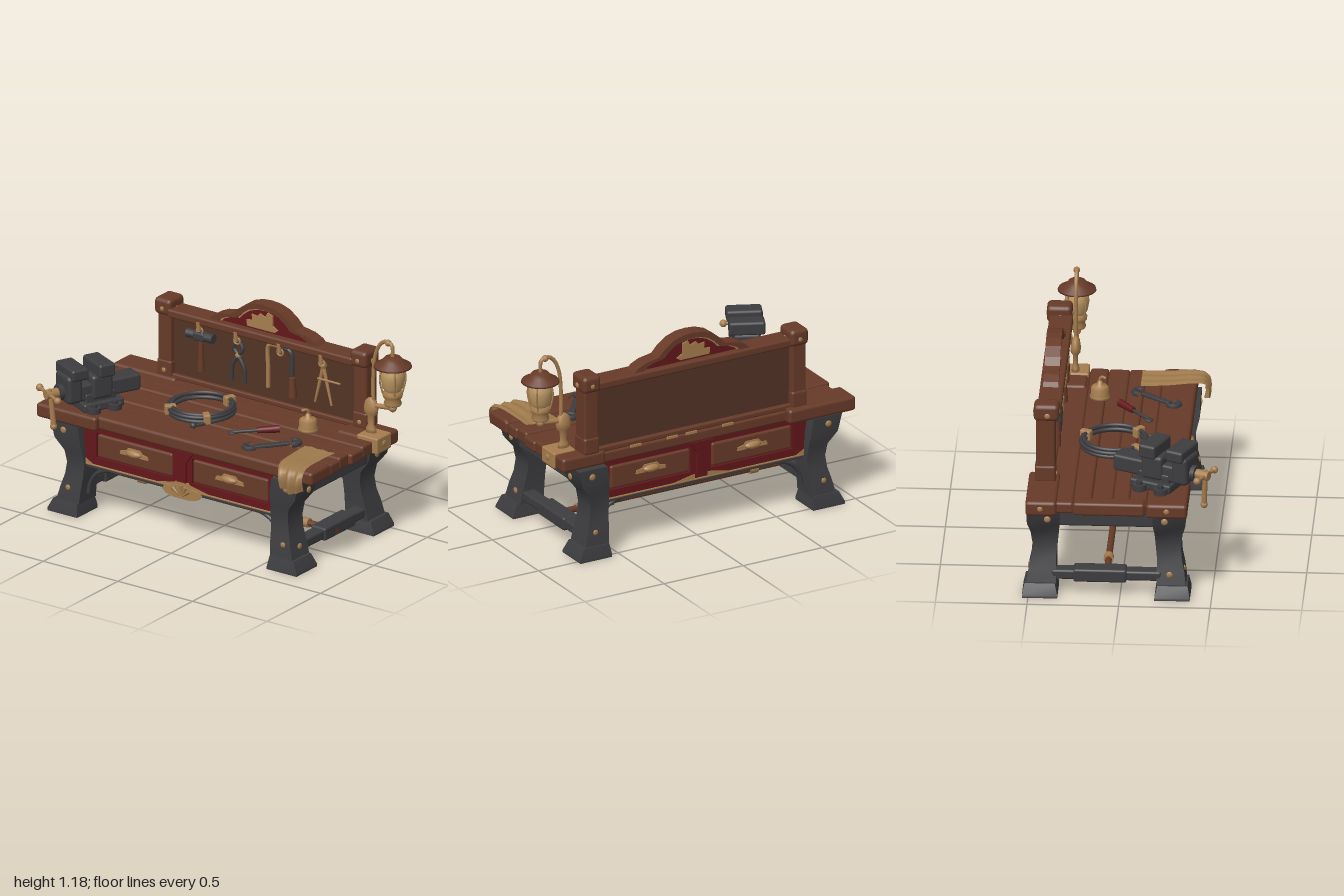
import * as THREE from 'three';
import { RoundedBoxGeometry } from 'three/addons/geometries/RoundedBoxGeometry.js';

const V = (x, y, z) => new THREE.Vector3(x, y, z);
const mat = (name, color, side = THREE.FrontSide) => {
  const m = new THREE.MeshStandardMaterial({ color, side });
  m.name = name;
  return m;
};

export function createModel() {
  const wood = mat('wood', 0x673a28), board = mat('dark wood', 0x533325), iron = mat('iron', 0x3d3d40);
  const brass = mat('brass', 0xa67d4e), red = mat('red paint', 0x63171b), glass = mat('lamp glass', 0xbb9763);
  const cloth = mat('cloth', 0x9f7a4c, THREE.DoubleSide);
  const model = new THREE.Group();
  model.name = 'workbench';

  // ---- helpers ----
  const group = (name, x = 0, y = 0, z = 0, parent = model) => {
    const g = new THREE.Group();
    g.name = name;
    g.position.set(x, y, z);
    parent.add(g);
    return g;
  };
  const add = (p, name, geo, m, x = 0, y = 0, z = 0) => {
    const o = new THREE.Mesh(geo, m);
    o.name = name;
    o.position.set(x, y, z);
    p.add(o);
    return o;
  };
  const box = (p, name, m, x0, x1, y0, y1, z0, z1, r = 0.012) =>
    add(p, name, new RoundedBoxGeometry(x1 - x0, y1 - y0, z1 - z0, 2, Math.min(r, (x1 - x0) / 3, (y1 - y0) / 3, (z1 - z0) / 3)),
      m, (x0 + x1) / 2, (y0 + y1) / 2, (z0 + z1) / 2);
  const rod = (p, name, m, a, b, r, r2 = r, n = 12) => {
    const d = b.clone().sub(a), c = a.clone().add(b).multiplyScalar(0.5);
    const o = add(p, name, new THREE.CylinderGeometry(r2, r, d.length(), n), m, c.x, c.y, c.z);
    o.quaternion.setFromUnitVectors(V(0, 1, 0), d.normalize());
    return o;
  };
  const ball = (p, name, m, x, y, z, r) => add(p, name, new THREE.SphereGeometry(r, 12, 8), m, x, y, z);
  const stud = (p, name, x, y, z, r, axis) => { ball(p, name, brass, x, y, z, r).scale[axis] = 0.4; };
  const tube = (p, name, m, pts, r, n = 24) =>
    add(p, name, new THREE.TubeGeometry(new THREE.CatmullRomCurve3(pts), n, r, 8), m);
  const lathe = (p, name, m, pts, x, y, z) =>
    add(p, name, new THREE.LatheGeometry(pts.map(q => new THREE.Vector2(q[0], q[1])), 20), m, x, y, z);
  const shapeOf = pts => new THREE.Shape(pts.map(q => new THREE.Vector2(q[0], q[1])));
  const slab = (p, name, m, shape, z0, z1) =>
    add(p, name, new THREE.ExtrudeGeometry(shape, { depth: z1 - z0, bevelEnabled: false }), m, 0, 0, z0);
  const rect = (x0, x1, y0, y1) => [[x0, y0], [x1, y0], [x1, y1], [x0, y1]];

  // Column from rows of [y, xInner, xOuter, zInner, zOuter], placed in the sx/sz quadrant
  const column = (p, name, m, rows, sx, sz) => {
    const g = new THREE.BoxGeometry(1, 1, 1, 1, rows.length - 1, 1), a = g.attributes.position;
    for (let i = 0; i < a.count; i++) {
      const r = rows[Math.round((a.getY(i) + 0.5) * (rows.length - 1))];
      a.setXYZ(i, sx * (a.getX(i) * sx > 0 ? r[2] : r[1]), r[0], sz * (a.getZ(i) * sz > 0 ? r[4] : r[3]));
    }
    g.computeVertexNormals();
    return add(p, name, g, m);
  };

  // ---- iron base ----
  const base = group('ironBase', -0.08, 0, -0.075);
  const legRows = [[0.07, 0.64, 0.79, 0.275, 0.435], [0.15, 0.635, 0.77, 0.275, 0.425], [0.22, 0.63, 0.75, 0.275, 0.41],
    [0.29, 0.625, 0.74, 0.268, 0.405], [0.36, 0.63, 0.75, 0.262, 0.415], [0.43, 0.635, 0.805, 0.255, 0.432], [0.53, 0.65, 0.83, 0.255, 0.435]];
  const footRows = [[0, 0.635, 0.835, 0.265, 0.458], [0.015, 0.635, 0.835, 0.265, 0.458], [0.075, 0.645, 0.805, 0.28, 0.445]];
  for (const sx of [-1, 1]) {
    for (const sz of [-1, 1]) {
      column(base, 'leg', iron, legRows, sx, sz);
      column(base, 'foot', iron, footRows, sx, sz);
      stud(base, 'legBolt', sx * 0.82, 0.465, sz * 0.32, 0.019, 'x');
      stud(base, 'legBolt', sx * 0.745, 0.485, sz * 0.434, 0.019, 'z');
      stud(base, 'legBolt', sx * 0.72, 0.15, sz * 0.425, 0.016, 'z');
    }
    stud(base, 'legBolt', sx * 0.776, 0.13, 0.345, 0.018, 'x');
    const [a, b] = sx > 0 ? [0.67, 0.8] : [-0.8, -0.67];
    box(base, 'sideBeam', iron, a, b, 0.42, 0.53, -0.3, 0.3);
    box(base, 'sideStretcher', iron, a + 0.02, b - 0.03, 0.09, 0.145, -0.3, 0.3);
    box(base, 'stretcherSleeve', iron, a + 0.01, b - 0.02, 0.08, 0.155, -0.18, 0.11);
  }
  rod(base, 'footRail', wood, V(-0.78, 0.11, 0), V(0.78, 0.11, 0), 0.018);
  for (const x of [-0.52, 0.39, 0.57]) rod(base, 'railCollar', brass, V(x - 0.025, 0.11, 0), V(x + 0.025, 0.11, 0), 0.027);

  // ---- drawer aprons; the back one sits deeper and has no shell ----
  for (const s of [1, -1]) {
    const ap = group(s > 0 ? 'frontApron' : 'backApron', -0.06, 0, s > 0 ? -0.075 : -0.055);
    ap.rotation.y = s > 0 ? 0 : Math.PI;
    const panel = shapeOf(rect(-0.68, 0.68, 0.305, 0.53));
    for (const c of [-0.32, 0.32])
      panel.holes.push(new THREE.Path(rect(c - 0.257, c + 0.257, 0.35, 0.496).map(q => new THREE.Vector2(...q))));
    slab(ap, 'redFrame', red, panel, 0.35, 0.385);
    for (const c of [-0.32, 0.32]) {
      box(ap, 'drawerFront', wood, c - 0.251, c + 0.251, 0.356, 0.49, 0.35, 0.388, 0.012);
      slab(ap, 'handlePlate', brass, shapeOf([[-0.095, 0.415], [0.095, 0.415], [0.09, 0.435], [0.055, 0.442], [0.04, 0.46],
        [-0.04, 0.46], [-0.055, 0.442], [-0.09, 0.435]]), 0.385, 0.395).position.x = c;
      ball(ap, 'drawerHandle', brass, c, 0.433, 0.394, 0.026).scale.set(2, 0.85, 1);
    }
    // centre pilaster and gilded edges
    slab(ap, 'centrePilaster', red, shapeOf([[-0.03, 0.33], [0.03, 0.33], [0.03, 0.46], [0.075, 0.525], [-0.075, 0.525], [-0.03, 0.46]]), 0.38, 0.4);
    box(ap, 'gildedLowerEdge', brass, -0.68, 0.68, 0.298, 0.308, 0.35, 0.39, 0.003);
    box(ap, 'lowerRail', iron, -0.66, 0.66, 0.282, 0.299, 0.34, 0.385, 0.004);
    for (const t of [-1, 1]) {
      const tri = (x, y, w, h) => slab(ap, 'gildedCorner', brass,
        shapeOf(t * w * h > 0 ? [[t * x, y], [t * (x + w), y], [t * x, y + h]] : [[t * x, y], [t * x, y + h], [t * (x + w), y]]), 0.385, 0.389);
      tri(0.675, 0.305, -0.08, 0.045);
      tri(0.675, 0.525, -0.07, -0.025);
      tri(0.04, 0.305, 0.15, 0.03);
      tube(ap, 'archBracket', iron, [V(t * 0.645, 0.12, 0.365), V(t * 0.63, 0.19, 0.365), V(t * 0.585, 0.25, 0.365),
        V(t * 0.52, 0.28, 0.365), V(t * 0.42, 0.29, 0.365)], 0.012);
    }
  }
  const shell = group('shellOrnament', -0.058, 0, -0.075);
  slab(shell, 'shellPlate', brass, shapeOf([[-0.13, 0.285], [-0.1, 0.26], [-0.05, 0.25], [0.05, 0.25], [0.1, 0.26], [0.13, 0.285],
    [0.11, 0.31], [0.06, 0.315], [0.04, 0.345], [-0.04, 0.345], [-0.06, 0.315], [-0.11, 0.31]]), 0.37, 0.402);
  for (let i = 0; i < 5; i++) {
    const a = (i - 2) * 0.5;
    rod(shell, 'shellRib', brass, V(Math.sin(a) * 0.015, 0.27, 0.403), V(Math.sin(a) * 0.065, 0.275 + Math.cos(a) * 0.055, 0.403), 0.006, 0.012, 8);
  }

  // ---- plank top ----
  const top = group('benchTop');
  const seams = [0.2, 0.15, 0.055, -0.035, -0.15, -0.25, -0.465];
  box(top, 'plankBed', wood, -0.96, 0.8, 0.535, 0.585, -0.45, 0.32, 0.005);
  for (let i = 0; i < seams.length - 1; i++)
    box(top, 'plank', wood, -0.975 + (i % 2) * 0.01, 0.825 - (i % 3) * 0.008, 0.53, 0.602 - (i % 2) * 0.007, seams[i + 1], seams[i], 0.014);
  box(top, 'frontCornerBlock', wood, -1, -0.6, 0.526, 0.608, 0.15, 0.373, 0.018);
  box(top, 'frontEdgeBeam', wood, -0.62, 0.825, 0.53, 0.607, 0.16, 0.34, 0.018);
  box(top, 'backCornerBlock', wood, -1, -0.58, 0.526, 0.61, -0.51, -0.34, 0.018);
  box(top, 'rightBackBlock', wood, 0.56, 0.83, 0.526, 0.608, -0.475, -0.26, 0.018);
  box(top, 'leftEndBand', wood, -0.985, -0.9, 0.528, 0.603, -0.25, 0.14, 0.015);
  for (const z of [-0.43, 0.26]) stud(top, 'endBolt', -0.998, 0.57, z, 0.016, 'x');
  for (const x of [-0.25, -0.02, 0.1, 0.33]) box(top, 'wornGilding', brass, x, x + 0.07, 0.586, 0.602, -0.468, -0.46, 0.002);

  // ---- tool board ----
  const back = group('toolBoard');
  box(back, 'boardPanel', board, -0.64, 0.62, 0.6, 0.985, -0.435, -0.39, 0.004);
  box(back, 'topRail', wood, -0.63, 0.61, 0.965, 1.013, -0.465, -0.335, 0.012);
  box(back, 'bottomRail', wood, -0.63, 0.61, 0.595, 0.625, -0.46, -0.37, 0.008);
  for (const x of [-0.665, 0.645]) {
    box(back, 'post', wood, x - 0.045, x + 0.045, 0.6, 1.0, -0.468, -0.362, 0.012);
    box(back, 'postCap', wood, x - 0.056, x + 0.056, 0.965, 1.062, -0.48, -0.34, 0.024);
    box(back, 'postFoot', wood, x - 0.049, x + 0.049, 0.6, 0.7, -0.474, -0.358, 0.015);
    for (const [y, z] of [[1.005, -0.341], [0.64, -0.358], [1.005, -0.479]]) stud(back, 'postStud', x, y, z, 0.014, 'z');
    for (const t of [-1, 1]) stud(back, 'postStud', x + t * 0.056, 1.0, -0.405, 0.016, 'x');
  }
  // arched crest: wooden rim, recessed red field, gilding
  const half = [[0.37, 1.005], [0.34, 1.035], [0.29, 1.058], [0.21, 1.072], [0.175, 1.11], [0.12, 1.15], [0.06, 1.17], [0, 1.175]];
  const outline = (kx, ky) => {
    const r = half.map(([x, y]) => [x * kx, 1.005 + (y - 1.005) * ky]);
    return r.concat(r.slice(0, -1).reverse().map(([x, y]) => [-x, y]));
  };
  const hole = k => new THREE.Path(outline(...k).map(q => new THREE.Vector2(...q)));
  const rim = shapeOf(outline(1, 1)), gild = shapeOf(outline(0.84, 0.82));
  rim.holes.push(hole([0.84, 0.82]));
  gild.holes.push(hole([0.8, 0.77]));
  slab(back, 'crestRim', wood, rim, -0.447, -0.363);
  slab(back, 'crestField', red, shapeOf(outline(0.85, 0.83)), -0.43, -0.38);
  slab(back, 'crestGilding', brass, gild, -0.434, -0.376);
  slab(back, 'crestOrnament', brass, shapeOf([[-0.115, 1.025], [0.07, 1.025], [0.09, 1.04], [0.055, 1.06], [0.055, 1.12], [0.02, 1.13],
    [0.005, 1.1], [-0.03, 1.115], [-0.05, 1.095], [-0.085, 1.1], [-0.08, 1.065], [-0.12, 1.06]]), -0.438, -0.37);

  // ---- hanging tools ----
  const Z = -0.365, tools = group('hangingTools');
  for (const x of [-0.42, -0.17, 0.12, 0.4]) {
    rod(tools, 'hook', brass, V(x, 0.985, -0.34), V(x, 0.93, -0.345), 0.013);
    add(tools, 'hookRing', new THREE.TorusGeometry(0.02, 0.006, 6, 14), brass, x, 0.93, -0.352);
  }
  box(tools, 'hammerHead', iron, -0.46, -0.385, 0.87, 0.92, Z - 0.022, Z + 0.028);
  rod(tools, 'hammerFace', iron, V(-0.39, 0.895, Z), V(-0.335, 0.895, Z), 0.027);
  rod(tools, 'hammerPeen', iron, V(-0.455, 0.895, Z), V(-0.51, 0.895, Z), 0.022, 0.027);
  rod(tools, 'hammerHandle', wood, V(-0.42, 0.69, Z), V(-0.42, 0.87, Z), 0.02, 0.014);
  for (const s of [-1, 1]) {
    tube(tools, 'tongArm', iron, [V(-0.17 + s * 0.045, 0.685, Z), V(-0.17 + s * 0.04, 0.77, Z), V(-0.17, 0.84, Z),
      V(-0.17 - s * 0.03, 0.88, Z), V(-0.17 - s * 0.012, 0.92, Z)], 0.012);
    rod(tools, 'dividerLeg', brass, V(0.4, 0.91, Z), V(0.4 + s * 0.055, 0.69, Z), 0.012, 0.006);
  }
  ball(tools, 'tongPivot', brass, -0.17, 0.84, Z, 0.018);
  ball(tools, 'dividerPivot', brass, 0.4, 0.915, Z, 0.02);
  rod(tools, 'dividerScrew', brass, V(0.37, 0.835, Z + 0.01), V(0.52, 0.835, Z + 0.01), 0.006);
  tube(tools, 'sawFrame', brass, [V(0.03, 0.7, Z), V(0.03, 0.82, Z), V(0.03, 0.94, Z), V(0.05, 0.955, Z), V(0.11, 0.955, Z)], 0.012);
  tube(tools, 'sawBack', iron, [V(0.1, 0.955, Z), V(0.17, 0.95, Z), V(0.185, 0.93, Z), V(0.19, 0.8, Z)], 0.014);
  rod(tools, 'sawHandle', wood, V(0.195, 0.68, Z), V(0.19, 0.79, Z), 0.024, 0.018);

  // ---- bench vise ----
  const vise = group('vise', -0.72, 0.605, 0.2);
  vise.rotation.y = -0.44;
  box(vise, 'viseBase', iron, -0.09, 0.09, 0, 0.05, -0.13, 0.12);
  for (const s of [-1, 1]) for (const z of [-0.06, 0.07]) {
    rod(vise, 'baseLug', iron, V(s * 0.1, 0, z), V(s * 0.1, 0.035, z), 0.04);
    rod(vise, 'lugBolt', iron, V(s * 0.105, 0.03, z), V(s * 0.105, 0.055, z), 0.02, 0.02, 6);
  }
  box(vise, 'viseNeck', iron, -0.065, 0.065, 0.04, 0.1, -0.09, 0.1);
  box(vise, 'slideBar', iron, -0.06, 0.06, 0.06, 0.155, -0.25, 0.16, 0.015);
  box(vise, 'rearBody', iron, -0.075, 0.075, 0.06, 0.2, -0.07, 0.06, 0.02);
  box(vise, 'rearJaw', iron, -0.1, 0.1, 0.19, 0.268, -0.07, 0.03, 0.015);
  box(vise, 'frontBody', iron, -0.08, 0.08, 0.06, 0.225, 0.12, 0.215, 0.025);
  box(vise, 'frontJaw', iron, -0.1, 0.1, 0.2, 0.268, 0.095, 0.2, 0.015);
  rod(vise, 'screwBoss', iron, V(0, 0.12, 0.2), V(0, 0.12, 0.24), 0.045);
  rod(vise, 'screw', brass, V(0, 0.12, 0.23), V(0, 0.12, 0.315), 0.027);
  rod(vise, 'handleBar', brass, V(-0.1, 0.125, 0.295), V(0.1, 0.115, 0.295), 0.01);
  for (const s of [-1, 1]) ball(vise, 'handleKnob', brass, s * 0.1, 0.12 - s * 0.005, 0.295, 0.021);
  rod(vise, 'dropLever', brass, V(0.005, 0.15, 0.29), V(0.02, -0.06, 0.275), 0.012, 0.016);
  ball(vise, 'leverKnob', brass, 0.02, -0.065, 0.275, 0.02);

  // ---- things lying on the bench ----
  const coil = group('cableCoil', -0.2, 0.6, -0.065);
  for (const [r, y, dx] of [[0.18, 0.012, 0], [0.165, 0.02, 0.006], [0.183, 0.035, -0.004], [0.168, 0.046, 0.004]])
    add(coil, 'cableLoop', new THREE.TorusGeometry(r, 0.011, 8, 40), iron, dx, y, 0).rotation.x = Math.PI / 2;
  for (const a of [-1.15, 0.8, 2.3]) {
    const tie = box(coil, 'cableTie', brass, -0.032, 0.032, 0, 0.058, -0.02, 0.02, 0.008);
    tie.position.set(Math.cos(a) * 0.175, 0.03, Math.sin(a) * 0.175);
    tie.rotation.y = -a;
  }
  tube(coil, 'cableEnd', iron, [V(0.17, 0.012, 0.06), V(0.13, 0.01, 0.15), V(0.1, 0.01, 0.21)], 0.01);
  ball(coil, 'cablePlug', iron, 0.1, 0.014, 0.22, 0.018);
  lathe(model, 'oilCan', brass, [[0, 0], [0.056, 0], [0.056, 0.015], [0.05, 0.02], [0.05, 0.06], [0.04, 0.072], [0.015, 0.08], [0.012, 0.1], [0, 0.1]],
    0.43, 0.6, -0.18);
  tube(model, 'oilSpout', brass, [V(0.43, 0.68, -0.18), V(0.432, 0.715, -0.178), V(0.425, 0.725, -0.165), V(0.41, 0.722, -0.145)], 0.008);
  const driver = group('screwdriver');
  rod(driver, 'driverBlade', iron, V(0.12, 0.612, 0.11), V(0.24, 0.618, 0.005), 0.009);
  rod(driver, 'driverGrip', red, V(0.23, 0.618, 0.015), V(0.32, 0.622, -0.065), 0.017, 0.022);
  ball(driver, 'driverTip', iron, 0.125, 0.61, 0.105, 0.025).scale.y = 0.35;
  const wrench = group('wrench', 0.41, 0.612, 0.13);
  wrench.rotation.y = 0.9;
  box(wrench, 'wrenchShank', iron, -0.1, 0.1, -0.009, 0.009, -0.018, 0.018, 0.006);
  for (const s of [-1, 1]) {
    const jaw = new THREE.TorusGeometry(0.03, 0.017, 6, 16, 4.2);
    jaw.rotateZ(1.04).rotateX(Math.PI / 2);
    add(wrench, 'wrenchJaw', jaw, iron, s * 0.125, 0, 0).rotation.y = s > 0 ? Math.PI : 0;
  }

  // ---- cloth draped over the front edge ----
  const drape = new THREE.CatmullRomCurve3([V(0.665, 0.615, 0.035), V(0.67, 0.618, 0.18), V(0.69, 0.622, 0.32), V(0.71, 0.605, 0.38),
    V(0.72, 0.55, 0.4), V(0.725, 0.48, 0.39)]);
  const sheet = new THREE.PlaneGeometry(1, 1, 14, 20), sp = sheet.attributes.position;
  for (let i = 0; i < sp.count; i++) {
    const u = sp.getX(i), t = 0.5 - sp.getY(i), q = drape.getPoint(t), w = 0.2 - 0.06 * t, f = Math.sin(u * 17 + t * 3) * (0.004 + 0.014 * t * t);
    sp.setXYZ(i, q.x + u * w, q.y + (t < 0.6 ? f * 0.7 : Math.abs(u) * 0.15 * (t - 0.6)), q.z + (t > 0.55 ? f : 0));
  }
  sheet.computeVertexNormals();
  add(model, 'cloth', sheet, cloth);

  // ---- lantern on a bracket ----
  const lamp = group('lantern', 0.89, 0, -0.33);
  box(lamp, 'bracketBlock', brass, -0.19, -0.05, 0.525, 0.618, -0.06, 0.075, 0.01);
  stud(lamp, 'bracketBolt', -0.05, 0.575, 0.01, 0.018, 'x');
  lathe(lamp, 'standColumn', brass, [[0, 0.61], [0.035, 0.61], [0.03, 0.64], [0.02, 0.66], [0.022, 0.71], [0.042, 0.73], [0.045, 0.76],
    [0.035, 0.8], [0.018, 0.815], [0, 0.82]], -0.145, 0, 0).scale.z = 0.65;
  rod(lamp, 'sideArm', brass, V(-0.145, 0.775, 0), V(-0.01, 0.79, 0), 0.014);
  ball(lamp, 'armKnob', brass, 0, 0.79, 0, 0.023);
  tube(lamp, 'hangingPole', brass, [V(-0.13, 0.79, 0), V(-0.13, 0.95, 0), V(-0.115, 1.08, 0), V(-0.08, 1.15, 0), V(-0.04, 1.172, 0),
    V(-0.005, 1.155, 0), V(0, 1.09, 0)], 0.011, 36);
  ball(lamp, 'poleKnuckle', brass, -0.03, 1.165, 0, 0.019);
  lathe(lamp, 'lampRoof', wood, [[0, 1.03], [0.06, 1.035], [0.106, 1.035], [0.103, 1.045], [0.06, 1.07], [0.045, 1.09], [0, 1.095]], 0, 0, 0);
  lathe(lamp, 'lampGlass', glass, [[0.042, 0.89], [0.058, 0.915], [0.068, 0.97], [0.064, 1.0], [0.05, 1.04]], 0, 0, 0);
  lathe(lamp, 'lampBase', brass, [[0, 0.81], [0.045, 0.81], [0.05, 0.82], [0.042, 0.845], [0.054, 0.86], [0.056, 0.88], [0.045, 0.895], [0, 0.895]], 0, 0, 0);
  for (let i = 0; i < 4; i++) {
    const c = Math.cos(i * Math.PI / 2 + 0.78), s = Math.sin(i * Math.PI / 2 + 0.78);
    tube(lamp, 'guardWire', brass, [V(c * 0.055, 0.88, s * 0.055), V(c * 0.072, 0.96, s * 0.072), V(c * 0.06, 1.04, s * 0.06)], 0.005, 10);
  }
  return model;
}
